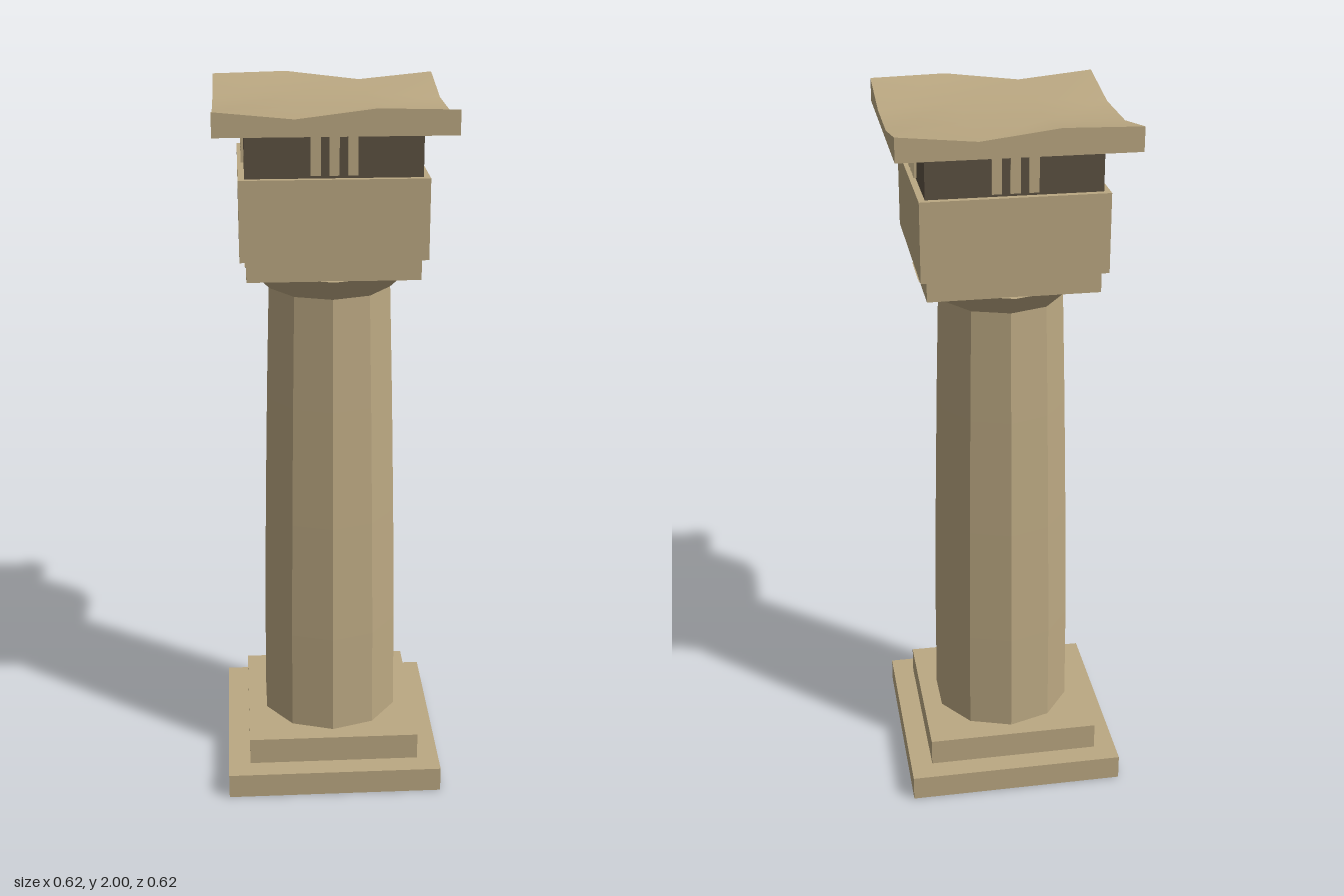
import * as THREE from 'three';

const stone = new THREE.MeshStandardMaterial({ color: 0xbba882, side: THREE.DoubleSide });
stone.name = 'sandstone';
const dark = new THREE.MeshStandardMaterial({ color: 0x5c5142 });
dark.name = 'dark frieze';

// Square block between two heights, optionally without its underside
function block(half, y0, y1, open = false, segments = 1) {
  const g = new THREE.BoxGeometry(half * 2, y1 - y0, half * 2, segments, 1, segments);
  g.translate(0, (y0 + y1) / 2, 0);
  if (open) {
    const under = g.groups[3];
    const index = Array.from(g.index.array);
    index.splice(under.start, under.count);
    g.setIndex(index);
    g.clearGroups();
  }
  return g;
}

// Roof top heights: rows run from back to front, columns from -x to +x
const ROOF = [
  [1.995, 2.0, 1.975, 1.995],
  [1.957, 1.968, 1.97, 1.957],
  [1.957, 1.97, 1.968, 1.957],
  [1.995, 1.975, 2.0, 1.995],
];

export function createModel() {
  const model = new THREE.Group();
  model.name = 'column';
  const add = (name, geometry, material, parent = model) => {
    const mesh = new THREE.Mesh(geometry, material);
    mesh.name = name;
    parent.add(mesh);
    return mesh;
  };

  // Stepped base
  add('lowerStep', block(0.31, 0, 0.073, true), stone);
  add('upperStep', block(0.247, 0.073, 0.152), stone);

  // Ten-sided shaft with a slight swelling
  const profile = [[0.202, 0.152], [0.2, 0.45], [0.193, 0.8], [0.184, 1.15], [0.174, 1.47]]
    .map(([r, y]) => new THREE.Vector2(r, y));
  const shaft = new THREE.LatheGeometry(profile, 10).toNonIndexed();
  shaft.computeVertexNormals();
  add('shaft', shaft, stone);

  // Flared neck and capital
  const neck = new THREE.CylinderGeometry(0.245, 0.174, 0.068, 10);
  neck.translate(0, 1.504, 0);
  add('neck', neck, stone);
  add('capitalSlab', block(0.23, 1.537, 1.595, true), stone);
  add('capitalBlock', block(0.247, 1.595, 1.81), stone);

  // Dark frieze with three upright bars on each side
  add('frieze', block(0.23, 1.81, 1.95), dark);
  for (let side = 0; side < 4; side++) {
    const bars = new THREE.Group();
    bars.name = 'friezeBars';
    bars.rotation.y = side * Math.PI / 2;
    for (const x of [-0.048, 0, 0.048]) {
      const bar = add('friezeBar', new THREE.BoxGeometry(0.026, 0.1, 0.009), stone, bars);
      bar.position.set(x, 1.868, 0.233);
    }
    model.add(bars);
  }

  // Roof slab with a weathered, wavy top
  const roof = block(0.31, 1.931, 1.99, true, 3);
  const p = roof.attributes.position;
  for (let i = 0; i < p.count; i++) {
    if (p.getY(i) < 1.95) continue;
    const col = Math.round((p.getX(i) / 0.62 + 0.5) * 3);
    const row = Math.round((p.getZ(i) / 0.62 + 0.5) * 3);
    p.setY(i, ROOF[row][col]);
  }
  roof.computeVertexNormals();
  add('roofSlab', roof, stone);

  return model;
}
